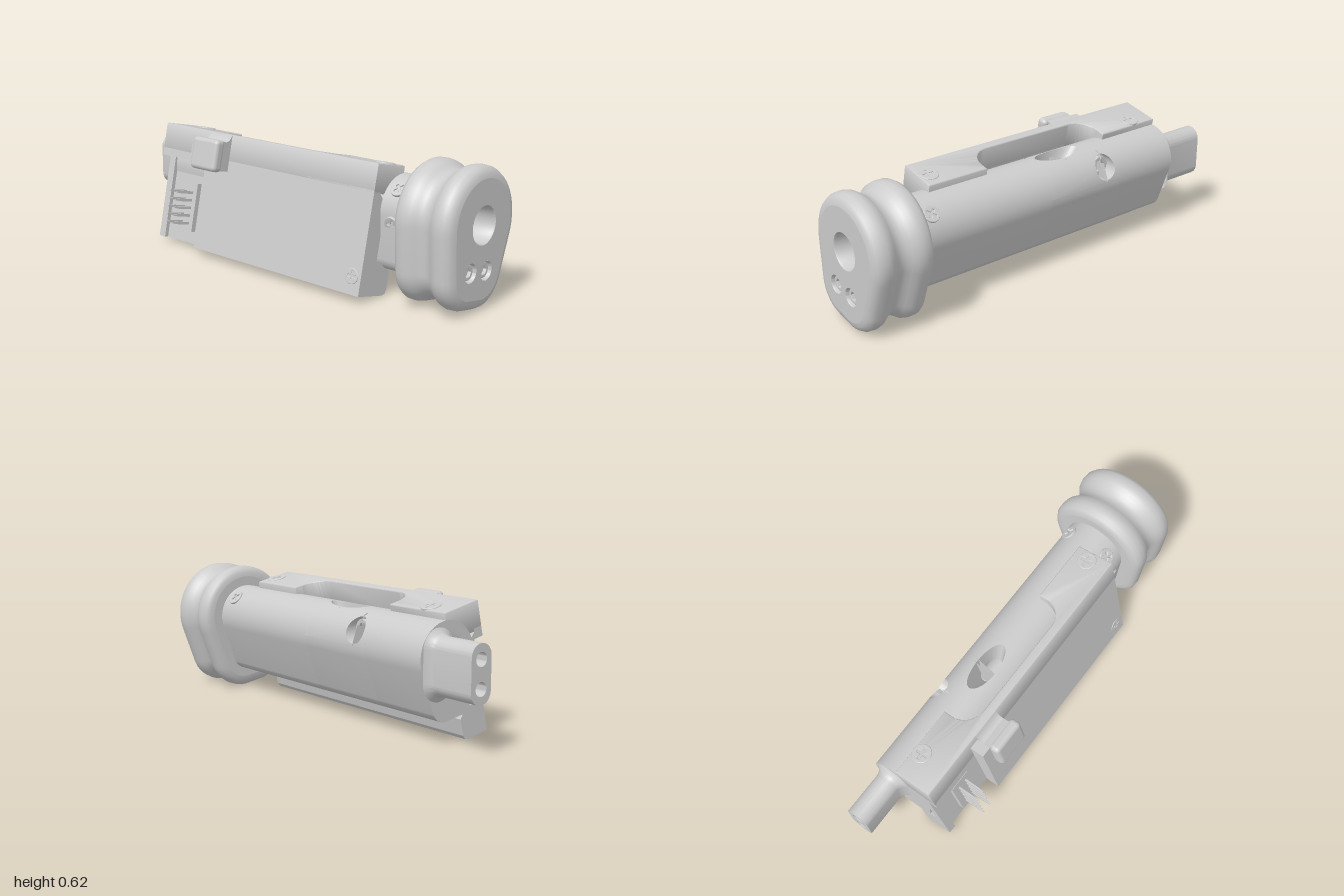
import * as THREE from 'three';
import { toCreasedNormals } from 'three/addons/utils/BufferGeometryUtils.js';
import { RoundedBoxGeometry } from 'three/addons/geometries/RoundedBoxGeometry.js';

const grey = new THREE.MeshStandardMaterial({ color: 0xcccccc });
const greyBoth = new THREE.MeshStandardMaterial({ color: 0xcccccc, side: THREE.DoubleSide });
const RAD = Math.PI / 180;
const CX = 0.04, CY = 0.375, BODY_R = 0.15, INSET = 0.095;
const V = (x, y, z) => new THREE.Vector3(x, y, z);

function add(parent, name, geometry, material = grey) {
  const mesh = new THREE.Mesh(geometry, material);
  mesh.name = name;
  parent.add(mesh);
  return mesh;
}

// Rounded outline: circles [x, y, r] joined by straight tangents, as [circle, from, to] arcs
const TOP = [CX, CY, 0.245], LEFT = [-0.035, 0.18, 0.16], RIGHT = [0.05, 0.17, 0.165];
const HULL = [[TOP, -20.2, 183], [LEFT, 183, 260], [RIGHT, 260, 339.8]];
function outline(arcs, inset) {
  const pts = [];
  for (const [[x, y, r], from, to] of arcs) {
    const n = Math.max(4, Math.ceil((to - from) / 5));
    for (let i = 0; i <= n; i++) {
      const a = (from + (to - from) * i / n) * RAD;
      pts.push(new THREE.Vector2(x + (r - inset) * Math.cos(a), y + (r - inset) * Math.sin(a)));
    }
  }
  return pts;
}

// Skin through a list of rings with equal point counts
function loft(rings) {
  const n = rings[0].length, index = [];
  for (let i = 0; i < rings.length - 1; i++) for (let j = 0; j < n - 1; j++) {
    const a = i * n + j, b = a + n;
    index.push(a, a + 1, b + 1, a, b + 1, b);
  }
  const g = new THREE.BufferGeometry().setFromPoints(rings.flat());
  g.setIndex(index);
  return toCreasedNormals(g, 0.6);
}
// profile: [z, inset] pairs
function sweep(arcs, profile, closed = true) {
  return loft(profile.map(([z, inset]) => {
    const p = outline(arcs, inset);
    if (closed) p.push(p[0]);
    return p.map(q => V(q.x, q.y, z));
  }));
}
function circlePath(x, y, r) {
  const p = new THREE.Path();
  p.absarc(x, y, r, 0, Math.PI * 2, true);
  return p;
}
function face(pts, holes, z) {
  const s = new THREE.Shape(pts);
  s.holes = holes.map(h => circlePath(...h));
  return new THREE.ShapeGeometry(s, 24).translate(0, 0, z);
}
function polygon(pts) {
  return new THREE.Shape(pts.map(p => new THREE.Vector2(...p)));
}
function extrude(shape, depth, z0 = 0, bevel = 0) {
  return new THREE.ExtrudeGeometry(shape, {
    depth: depth - 2 * bevel, curveSegments: 16, bevelEnabled: bevel > 0, bevelSegments: 4,
    bevelSize: bevel, bevelThickness: bevel, bevelOffset: -bevel,
  }).translate(0, 0, z0 + bevel);
}
function box(w, h, d, x, y, z) {
  return new THREE.BoxGeometry(w, h, d).translate(x, y, z);
}
// Closed-bottom well of circular section along z, opening towards +z
function well(points) {
  const g = new THREE.LatheGeometry(points.map(p => new THREE.Vector2(...p)), 40).rotateX(Math.PI / 2);
  return toCreasedNormals(g, 0.6);
}

// Screw facing +z with a hex or cross recess
function screw(parent, name, r, cross, pos, dir) {
  const g = new THREE.Group();
  g.name = name;
  const head = new THREE.Shape();
  head.absarc(0, 0, r, 0, Math.PI * 2);
  const w = r * 0.14, l = r * 0.62, pts = [];
  if (cross) for (let k = 0; k < 4; k++) {
    const c = Math.round(Math.cos(k * Math.PI / 2)), s = Math.round(Math.sin(k * Math.PI / 2));
    for (const [x, y] of [[l, -w], [l, w], [w, w]]) pts.push(new THREE.Vector2(x * c - y * s, x * s + y * c));
  } else for (let k = 0; k < 6; k++) pts.push(new THREE.Vector2(l * Math.cos(k * Math.PI / 3), l * Math.sin(k * Math.PI / 3)));
  head.holes.push(new THREE.Path(pts));
  add(g, 'screwHead', extrude(head, r * 0.5, -r * 0.5, r * 0.08));
  add(g, 'recessFloor', new THREE.CircleGeometry(r * 0.8, 24).translate(0, 0, -r * 0.42));
  g.position.copy(pos);
  g.quaternion.setFromUnitVectors(V(0, 0, 1), dir);
  parent.add(g);
}

// Piece of the round upper body with a hole; hole(a) gives [theta, z], inner maps rim points inwards
function holedPatch(parent, name, [t0, t1, z0, z1], centre, hole, inner) {
  const N = 96, rim = [], edge = [];
  for (let i = 0; i < N; i++) {
    const h = hole(i / N * Math.PI * 2), d = [h[0] - centre[0], h[1] - centre[1]];
    const s = Math.min(((d[0] > 0 ? t1 : t0) - centre[0]) / (d[0] || 1e-9), ((d[1] > 0 ? z1 : z0) - centre[1]) / (d[1] || 1e-9));
    rim.push(h);
    edge.push([centre[0] + d[0] * s, centre[1] + d[1] * s]);
  }
  // Snap the nearest edge points to the patch corners
  for (const c of [[t0, z0], [t0, z1], [t1, z0], [t1, z1]]) {
    const dist = e => Math.hypot(e[0] - c[0], e[1] - c[1]);
    edge[edge.reduce((b, e, i) => dist(e) < dist(edge[b]) ? i : b, 0)] = c;
  }
  rim.push(rim[0]);
  edge.push(edge[0]);
  const at = ([t, z]) => V(CX + BODY_R * Math.cos(t), CY + BODY_R * Math.sin(t), z);
  const rings = [];
  for (let k = 0; k <= 8; k++) rings.push(rim.map((h, i) => at([h[0] + (edge[i][0] - h[0]) * k / 8, h[1] + (edge[i][1] - h[1]) * k / 8])));
  add(parent, name, loft(rings), greyBoth);
  add(parent, name + 'Wall', loft([rings[0], rings[0].map(inner)]), greyBoth);
}

function buildBody(root) {
  const body = new THREE.Group();
  body.name = 'body';
  root.add(body);
  const zA = -0.41, zB = 0.01, tMid = 64 * RAD, tEnd = 112 * RAD;
  add(body, 'bodyFront', sweep(HULL, [[zB, INSET], [0.72, INSET]]), greyBoth);
  add(body, 'bodyRear', sweep(HULL, [[-0.76, INSET], [zA, INSET]]), greyBoth);
  add(body, 'bodyRearFace', face(outline(HULL, INSET), [], -0.76), greyBoth);
  const open = [[TOP, 112, 183], HULL[1], HULL[2], [TOP, 339.8, 360]];
  add(body, 'bodyMiddle', sweep(open, [[zA, INSET], [zB, INSET]], false), greyBoth);
  // Slanted window on top and screw pocket on the side
  holedPatch(body, 'topWindow', [tMid, tEnd, zA, zB], [88 * RAD, -0.138],
    a => [Math.acos((0.005 + 0.05 * Math.cos(a)) / BODY_R), -0.138 + 0.125 * Math.sin(a)],
    p => V(CX + (p.x - CX) * 0.75, 0.405, -0.07 + (p.z + 0.07) * 0.5));
  holedPatch(body, 'sidePocket', [0, tMid, zA, zB], [29 * RAD, -0.33],
    a => [Math.asin((0.065 + 0.057 * Math.cos(a)) / BODY_R), -0.33 + 0.057 * Math.sin(a)],
    p => V(0.1, p.y, p.z));
  add(body, 'pocketFloor', new THREE.CircleGeometry(0.058, 32).rotateY(Math.PI / 2).translate(0.1, 0.44, -0.33));
  screw(body, 'sideScrew', 0.046, false, V(0.135, 0.44, -0.33), V(1, 0, 0));
  // Screws around the neck
  for (const deg of [43, 133, 195]) {
    const d = V(Math.cos(deg * RAD), Math.sin(deg * RAD), 0);
    screw(body, 'neckScrew', 0.038, true, V(CX, CY, 0.64).addScaledVector(d, BODY_R + 0.006), d);
  }
}

function buildBumper(root) {
  const bumper = new THREE.Group();
  bumper.name = 'bumper';
  root.add(bumper);
  const profile = [[0.71, 0.05], [0.713, 0.03], [0.722, 0.012], [0.74, 0.001], [0.77, 0], [0.795, 0.006], [0.815, 0.02],
    [0.835, 0.032], [0.855, 0.036], [0.875, 0.032], [0.893, 0.02], [0.912, 0.006], [0.935, 0], [0.965, 0.002],
    [0.985, 0.014], [0.996, 0.032], [1, 0.05]];
  add(bumper, 'bumperRim', sweep(HULL, profile), greyBoth);
  const screws = [[-0.047, 0.19], [0.067, 0.175]];
  add(bumper, 'bumperFace', face(outline(HULL, 0.05), [[CX, CY, 0.084], ...screws.map(s => [...s, 0.042])], 1), greyBoth);
  add(bumper, 'bumperBack', face(outline(HULL, 0.05), [[CX, CY, 0.06]], 0.71), greyBoth);
  add(bumper, 'bore', well([[0.084, 1], [0.079, 0.992], [0.079, 0.9], [0.048, 0.9], [0.048, -0.5], [0, -0.5]]).translate(CX, CY, 0));
  for (const [x, y] of screws) {
    add(bumper, 'screwWell', well([[0.042, 1], [0.039, 0.994], [0.039, 0.96], [0, 0.96]]).translate(x, y, 0));
    screw(bumper, 'frontScrew', 0.034, false, V(x, y, 0.988), V(0, 0, 1));
  }
}

function buildTail(root) {
  const tail = new THREE.Group();
  tail.name = 'tail';
  root.add(tail);
  const arcs = [[[0.09, 0.415, 0.055], 0, 180], [[0.09, 0.275, 0.055], 180, 360]];
  add(tail, 'tailBar', sweep(arcs, [[-1, 0], [-0.8, 0], [-0.785, -0.004], [-0.772, -0.013], [-0.76, -0.03]]), greyBoth);
  const holes = [0.285, 0.405].map(y => [0.09, y, 0.03]);
  add(tail, 'tailEnd', face(outline(arcs, 0), holes, -1), greyBoth);
  for (const [x, y, r] of holes)
    add(tail, 'tailHole', well([[r, 0], [r, -0.15], [0, -0.15]]).rotateY(Math.PI).translate(x, y, -1));
}

// Tilted side cover; local x runs across it and local y up its face
function buildCover(root) {
  const cover = new THREE.Group();
  cover.name = 'cover';
  cover.position.set(-0.25, 0.04, 0);
  cover.rotation.z = -12.5 * RAD;
  root.add(cover);
  const wall = u => polygon([[u, 0], [0.165, 0], [0.182, 0.007], [0.19, 0.025], [0.19, 0.1], [0.165, 0.13], [0.09, 0.15],
    [0.09, 0.4], [0.045, 0.44], [0.045, 0.455], [0, 0.455], ...(u ? [[0, 0.41], [u, 0.41]] : [])]);
  add(cover, 'coverWall', extrude(wall(0), 1.03, -0.45));
  add(cover, 'connectorBay', extrude(wall(0.07), 0.27, -0.72));
  add(cover, 'endFlange', extrude(wall(0.05), 0.04, -0.76));
  // Top plate with its rounded cut-out
  const plate = polygon([[0, -0.58], [0.185, -0.58], [0.185, -0.27], [0.145, -0.27]]);
  plate.absarc(0.145, -0.17, 0.1, -Math.PI / 2, -Math.PI, true);
  plate.absarc(0.145, 0.32, 0.1, Math.PI, Math.PI / 2, true);
  plate.lineTo(0.19, 0.42);
  plate.lineTo(0.19, 0.76);
  plate.lineTo(0, 0.76);
  add(cover, 'topPlate', toCreasedNormals(extrude(plate, 0.13, 0.44, 0.007).rotateX(-Math.PI / 2), 0.6));
  screw(cover, 'topScrew', 0.045, true, V(0.145, 0.574, -0.63), V(0, 1, 0));
  screw(cover, 'topScrew', 0.045, true, V(0.107, 0.574, 0.53), V(0, 1, 0));
  screw(cover, 'faceScrew', 0.035, true, V(-0.003, 0.08, 0.53), V(-1, 0, 0));
  add(cover, 'pinHole', new THREE.TorusGeometry(0.014, 0.004, 8, 20).rotateY(Math.PI / 2).translate(0.19, 0.085, -0.145));
  // Slide switch
  add(cover, 'switchKnob', new RoundedBoxGeometry(0.055, 0.15, 0.17, 4, 0.02).translate(-0.088, 0.465, -0.355));
  const neck = polygon([[-0.08, 0.395], [0.01, 0.395], [0.01, 0.568], [0, 0.568]]);
  neck.quadraticCurveTo(-0.012, 0.535, -0.035, 0.532);
  neck.lineTo(-0.08, 0.538);
  add(cover, 'switchNeck', extrude(neck, 0.14, -0.435));
  add(cover, 'switchStop', box(0.08, 0.11, 0.05, -0.03, 0.475, -0.46));
  // Pin connector
  add(cover, 'connectorBlock', box(0.03, 0.24, 0.11, 0.06, 0.18, -0.585));
  const pin = new THREE.LatheGeometry([[0, 0], [0.004, 0], [0.009, 0.035], [0.009, 0.13]].map(p => new THREE.Vector2(...p)), 4);
  const pinGeometry = toCreasedNormals(pin.rotateY(Math.PI / 4).rotateZ(-Math.PI / 2).scale(1, 1, 0.7), 0.3);
  for (const z of [-0.56, -0.605]) for (let i = 0; i < 5; i++)
    add(cover, 'pin', pinGeometry, greyBoth).position.set(-0.06, 0.1 + i * 0.038, z);
}

export function createModel() {
  const root = new THREE.Group();
  root.name = 'handheldDevice';
  buildBody(root);
  buildBumper(root);
  buildTail(root);
  buildCover(root);
  return root;
}
